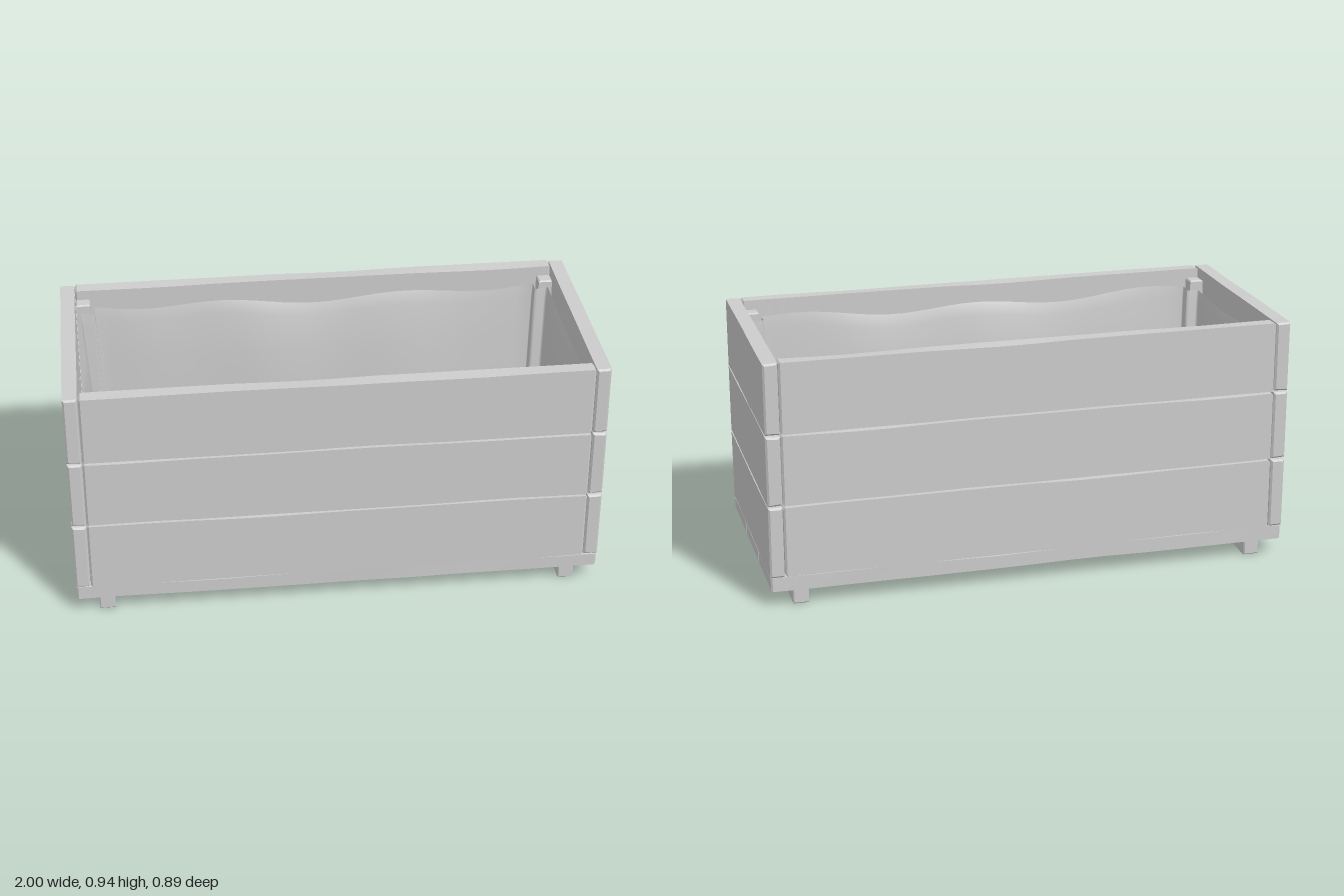
import * as THREE from 'three';
import { toCreasedNormals } from 'three/addons/utils/BufferGeometryUtils.js';

const grey = new THREE.MeshStandardMaterial({ color: 0xcccccc, side: THREE.DoubleSide });
grey.name = 'plain grey';

// Rough-sawn board: chamfered box along z, with gently wandering edges.
function board(thick, high, length, seed, wobble = 0.003, b = 0.007) {
  const x = thick / 2 - b, y = high / 2 - b;
  const section = new THREE.Shape([
    new THREE.Vector2(-x, -y), new THREE.Vector2(x, -y),
    new THREE.Vector2(x, y), new THREE.Vector2(-x, y),
  ]);
  const geo = new THREE.ExtrudeGeometry(section, {
    depth: length - 2 * b, steps: 14, bevelEnabled: true,
    bevelSize: b, bevelThickness: b, bevelSegments: 1,
  });
  geo.translate(0, 0, b - length / 2);
  const p = geo.attributes.position;
  for (let i = 0; i < p.count; i++) {
    const sx = Math.sign(p.getX(i)), sy = Math.sign(p.getY(i)), z = p.getZ(i);
    const wave = Math.sin(z * 4.3 + seed * 2.1 + sx + sy * 2.7) + 0.5 * Math.sin(z * 9.7 + seed * 5 + sy);
    p.setY(i, p.getY(i) - sy * wobble * Math.max(0, wave));
    p.setX(i, p.getX(i) - sx * wobble * 0.5 * Math.max(0, -wave));
  }
  return toCreasedNormals(geo, 0.5);
}

// Soft bag: loops around the inside of the box, from the rim down to the floor.
function linerGeometry() {
  const n = 28, corner = 5;
  const outline = [];
  const side = (x0, z0, x1, z1, count, sag) => {
    for (let i = 0; i < count; i++) {
      const t = i / count;
      outline.push({ x: x0 + (x1 - x0) * t, z: z0 + (z1 - z0) * t, sag: sag * Math.sin(Math.PI * t) });
    }
  };
  const X = 0.922, Z = 0.378, cx = 0.872, cz = 0.322;
  // each long or short wall ends with a fold around a corner post
  side(-cx, Z, cx, Z, n, 1);
  side(cx, Z, cx, cz, corner, 0);
  side(cx, cz, X, cz, corner, 0);
  side(X, cz, X, -cz, n, 0.5);
  side(X, -cz, cx, -cz, corner, 0);
  side(cx, -cz, cx, -Z, corner, 0);
  side(cx, -Z, -cx, -Z, n, 1);
  side(-cx, -Z, -cx, -cz, corner, 0);
  side(-cx, -cz, -X, -cz, corner, 0);
  side(-X, -cz, -X, cz, n, 0.5);
  side(-X, cz, -cx, cz, corner, 0);
  side(-cx, cz, -cx, Z, corner, 0);

  // [height, inset from the wall, how much the wall bulges inward]
  const levels = [[0.87, 0, 0.006], [0.82, 0.004, 0.022], [0.65, 0.008, 0.034], [0.45, 0.012, 0.036],
    [0.25, 0.016, 0.032], [0.17, 0.03, 0.03], [0.14, 0.07, 0.02], [0.132, 0.2, 0], [0.13, 0.372, 0]];
  const pos = [], index = [], m = outline.length;
  levels.forEach(([y, inset, bulge], k) => {
    outline.forEach((o) => {
      const px = o.x * (1 - inset / X), pz = o.z * (1 - inset / Z);
      const onLong = Math.abs(o.z) > Z - 0.001;
      const fold = 1 + 0.2 * Math.sin(o.x * 11 + o.z * 7);
      const d = bulge * o.sag * fold;
      const rim = k < 2 ? 0.014 * Math.sin(o.x * 9 + o.z * 4) - 0.015 * o.sag : 0;
      pos.push(onLong ? px : px - Math.sign(px) * d, y + rim, onLong ? pz - Math.sign(pz) * d : pz);
    });
    if (k === 0) return;
    for (let i = 0; i < m; i++) {
      const j = (i + 1) % m, a = (k - 1) * m, c = k * m;
      index.push(a + i, c + i, a + j, a + j, c + i, c + j);
    }
  });
  // close the floor
  const last = (levels.length - 1) * m, centre = pos.length / 3;
  pos.push(0, 0.13, 0);
  for (let i = 0; i < m; i++) index.push(last + i, centre, last + ((i + 1) % m));
  // faces turned to the inside of the bag
  for (let i = 0; i < index.length; i += 3) [index[i + 1], index[i + 2]] = [index[i + 2], index[i + 1]];
  const geo = new THREE.BufferGeometry();
  geo.setAttribute('position', new THREE.Float32BufferAttribute(pos, 3));
  geo.setIndex(index);
  geo.computeVertexNormals();
  // the floor must look upward
  if (geo.attributes.normal.getY(centre) < 0) {
    for (let i = 0; i < index.length; i += 3) [index[i + 1], index[i + 2]] = [index[i + 2], index[i + 1]];
    geo.setIndex(index);
    geo.computeVertexNormals();
  }
  return geo;
}

export function createModel() {
  const model = new THREE.Group();
  model.name = 'planterBox';
  const add = (name, geo, x, y, z, alongX = false) => {
    if (alongX) geo.rotateY(Math.PI / 2);
    const mesh = new THREE.Mesh(geo, grey);
    mesh.name = name;
    mesh.position.set(x, y, z);
    model.add(mesh);
  };

  // three rows of wall planks
  [[0.118, 0.39], [0.396, 0.662], [0.668, 0.937]].forEach(([y0, y1], row) => {
    const h = y1 - y0, y = (y0 + y1) / 2;
    for (const s of [1, -1]) {
      add(s > 0 ? 'frontPlank' : 'backPlank', board(0.055, h, 1.886, row + s * 3.3), 0, y, s * 0.419, true);
      add(s > 0 ? 'leftPlank' : 'rightPlank', board(0.055, h, 0.892, row * 2 + s * 1.7, 0.002), s * 0.9725, y, 0);
    }
  });

  // bottom boards with open gaps between them
  [[0.298, 0.284], [0, 0.284], [-0.298, 0.284]].forEach(([z, w], i) =>
    add('bottomBoard', board(w, 0.055, 1.995, i * 1.9 + 1, 0.003, 0.006), 0, 0.0885, z, true));

  // runners under the box
  for (const s of [1, -1]) {
    add('runner', board(0.06, 0.062, 0.848, s * 2, 0.002, 0.004), s * 0.885, 0.031, 0);
  }

  // posts inside the four corners
  for (const sx of [1, -1]) for (const sz of [1, -1]) {
    const post = board(0.055, 0.055, 0.785, sx + sz * 2, 0.002, 0.005);
    post.rotateX(Math.PI / 2);
    add('cornerPost', post, sx * 0.914, 0.5085, sz * 0.362);
  }

  add('liner', linerGeometry(), 0, 0, 0);
  return model;
}
